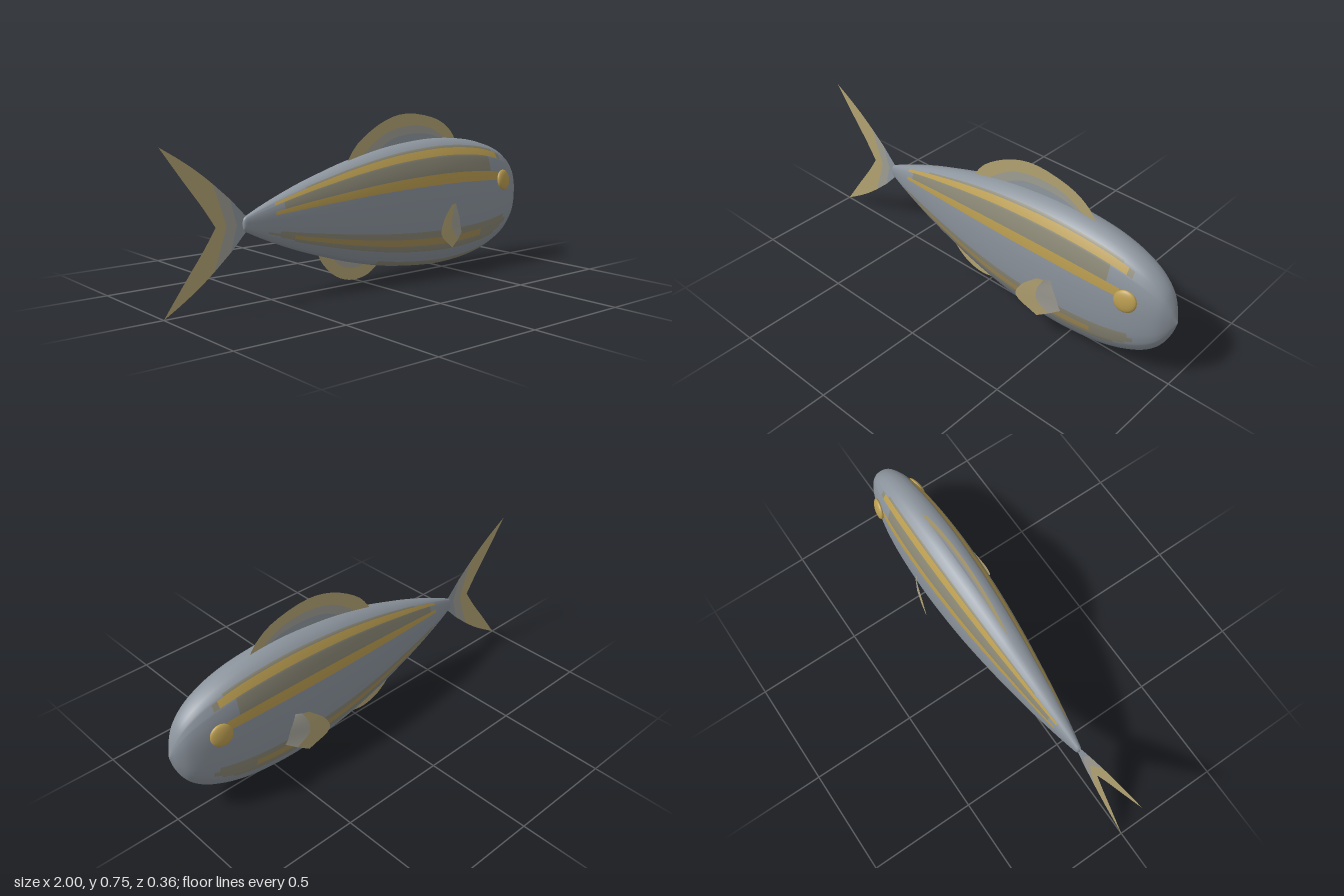
import * as THREE from 'three';

const mat = (name, color, side = THREE.FrontSide) => {
  const m = new THREE.MeshStandardMaterial({ color, side });
  m.name = name;
  return m;
};

const MID = 0.335;   // height of the body axis
const FLAT = 0.432;  // body width over height

// Body side profile: [x, half height]
const PROFILE = [[-0.635, 0], [-0.628, 0.026], [-0.6, 0.042], [-0.5, 0.087], [-0.35, 0.145], [-0.2, 0.193],
  [-0.09, 0.225], [0.1, 0.268], [0.25, 0.289], [0.42, 0.3], [0.58, 0.292], [0.7, 0.273], [0.8, 0.242],
  [0.88, 0.2], [0.94, 0.145], [0.975, 0.08], [1, 0]];

// Section angles for one flank, belly to back, in degrees
const ANGLES = [-90, -76, -61, -43, -39, -35, -27, -20, -7, 4, 14, 24, 33, 42, 45, 57, 62, 76, 90];

// Painted bands: [from angle, to angle, from x, to x, colour index]
const BANDS = [
  [-90, -76, 0.3, 0.78, 3], [-90, -61, 0.05, 0.84, 2],
  [-35, -27, -0.4, 0.66, 3], [-35, -27, -0.52, 0.85, 2],
  [-27, -20, -0.47, 0.83, 2], [-39, -35, -0.47, 0.82, 2], [-43, -39, -0.4, 0.77, 2],
  [14, 24, -0.5, 0.78, 1], [45, 57, -0.5, 0.79, 1], [45, 57, -0.5, 0.82, 2],
  [24, 45, -0.46, 0.72, 2], [57, 62, -0.35, 0.76, 2],
];

function buildBody(materials) {
  const curve = new THREE.CatmullRomCurve3(PROFILE.map(([x, r]) => new THREE.Vector3(x, r, 0)), false, 'centripetal');
  const stations = curve.getPoints(110);
  const ring = [...ANGLES, ...ANGLES.slice(1, -1).reverse().map((a) => 180 - a)];
  const n = ring.length;
  const full = (v) => Math.sign(v) * Math.abs(v) ** 0.833; // fuller than an ellipse
  const pos = [];
  for (const s of stations) {
    for (const deg of ring) {
      const a = THREE.MathUtils.degToRad(deg);
      const r = Math.max(s.y, 0.0003);
      const v = full(Math.sin(a));
      pos.push(s.x, MID + r * v * (v > 0 ? 0.975 : 1.025), FLAT * r * full(Math.cos(a)));
    }
  }
  // Sort the faces by colour band
  const faces = materials.map(() => []);
  for (let i = 0; i < stations.length - 1; i++) {
    const x = (stations[i].x + stations[i + 1].x) / 2;
    for (let j = 0; j < n; j++) {
      const k = (j + 1) % n;
      const next = k === 0 ? 270 : ring[k];
      const mid = (ring[j] + next) / 2;
      const folded = mid > 90 ? 180 - mid : mid;
      const band = BANDS.find(([a0, a1, x0, x1]) => folded > a0 && folded < a1 && x > x0 && x < x1);
      const a = i * n + j, b = a + n, c = (i + 1) * n + k, d = i * n + k;
      faces[band ? band[4] : 0].push(a, b, c, a, c, d);
    }
  }
  const geo = new THREE.BufferGeometry();
  geo.setAttribute('position', new THREE.Float32BufferAttribute(pos, 3));
  geo.setIndex(faces.flat());
  let start = 0;
  faces.forEach((f, m) => {
    geo.addGroup(start, f.length, m);
    start += f.length;
  });
  geo.computeVertexNormals();
  return new THREE.Mesh(geo, materials);
}

// Smooth 2D curve through a few points
const smooth = (pts) => new THREE.SplineCurve(pts.map(([x, y]) => new THREE.Vector2(x, y))).getPoints(20);

// Flat fin panel outlined by curves laid end to end
function panel(material, ...curves) {
  const shape = new THREE.Shape(curves.flatMap(smooth));
  return new THREE.Mesh(new THREE.ShapeGeometry(shape), material);
}

// Curved sheet between two matching rows of 3D points
function sheet(rowA, rowB, material) {
  const pos = [], index = [];
  rowA.forEach((a, i) => {
    pos.push(...a, ...rowB[i]);
    if (i) index.push(2 * i - 2, 2 * i - 1, 2 * i, 2 * i, 2 * i - 1, 2 * i + 1);
  });
  const geo = new THREE.BufferGeometry();
  geo.setAttribute('position', new THREE.Float32BufferAttribute(pos, 3));
  geo.setIndex(index);
  geo.computeVertexNormals();
  return new THREE.Mesh(geo, material);
}

export function createModel() {
  const silver = mat('silver skin', 0x8b939c);
  const gold = mat('gold stripe', 0xb99c50);
  const dullGold = mat('dull gold stripe', 0xa38d58);
  const olive = mat('olive stripe edge', 0x8a8775);
  const finGold = mat('fin gold', 0xb3a373, THREE.DoubleSide);
  const finGrey = mat('fin grey', 0xa09e94, THREE.DoubleSide);
  const finRoot = mat('fin root', 0x8f979f, THREE.DoubleSide);

  const model = new THREE.Group();
  const add = (name, mesh) => {
    mesh.name = name;
    model.add(mesh);
    return mesh;
  };

  add('body', buildBody([silver, gold, olive, dullGold]));

  // Back fin in three arched bands
  const backArch = [[0.0, 0.575], [0.13, 0.662], [0.28, 0.692], [0.42, 0.675], [0.54, 0.605]];
  const backInner = [[0.08, 0.585], [0.18, 0.638], [0.3, 0.655], [0.42, 0.645], [0.5, 0.61]];
  add('backFinEdge', panel(finGold,
    [[-0.09, 0.55], [-0.02, 0.635], [0.12, 0.718], [0.265, 0.75], [0.44, 0.722], [0.54, 0.665], [0.59, 0.595]],
    [...backArch].reverse()));
  add('backFinBand', panel(finGrey, backArch, [...backInner].reverse()));
  add('backFinRoot', panel(finRoot, backInner, [[0.5, 0.6], [0.25, 0.59], [0.08, 0.575]]));

  // Belly fin
  const bellyArch = [[-0.2, 0.165], [-0.14, 0.1], [-0.07, 0.072], [0.0, 0.078], [0.05, 0.1]];
  add('bellyFinEdge', panel(finGold,
    [[-0.26, 0.175], [-0.225, 0.11], [-0.15, 0.045], [-0.06, 0.018], [0.03, 0.032], [0.1, 0.08]],
    [...bellyArch].reverse()));
  add('bellyFinBase', panel(finGrey, bellyArch, [[0.05, 0.105], [-0.08, 0.14], [-0.2, 0.17]]));

  // Forked tail, one lobe above and one below the axis
  for (const s of [1, -1]) {
    const side = s > 0 ? 'upper' : 'lower';
    const lobe = (pts) => pts.map(([x, y]) => [x, MID + s * y]);
    const bandA = lobe([[-0.77, 0.178], [-0.735, 0.08], [-0.71, 0]]);
    const bandB = lobe([[-0.69, 0.108], [-0.675, 0.05], [-0.66, 0]]);
    add(side + 'TailTip', panel(finGold,
      lobe([[-1, 0.335], [-0.92, 0.287], [-0.84, 0.233], [-0.77, 0.178]]),
      bandA,
      lobe([[-0.76, 0], [-0.82, 0.09], [-0.9, 0.197], [-1, 0.335]])));
    add(side + 'TailBand', panel(finGrey, bandA, [...bandB].reverse()));
    add(side + 'TailRoot', panel(finRoot, bandB, lobe([[-0.61, 0], [-0.612, 0.02], [-0.62, 0.035]])));
  }

  for (const s of [1, -1]) {
    const flank = s > 0 ? 'left' : 'right';

    // Side fin, bowed away from the flank
    const row = (pts) => new THREE.CatmullRomCurve3(pts.map((p) => new THREE.Vector3(...p)), false, 'centripetal')
      .getPoints(12).map((p) => [p.x, p.y, p.z]);
    const root = row([[0.465, 0.33, 0.126], [0.485, 0.28, 0.126], [0.505, 0.235, 0.121], [0.52, 0.19, 0.115]]);
    const edge = row([[0.41, 0.33, 0.155], [0.34, 0.268, 0.175], [0.318, 0.205, 0.181], [0.415, 0.128, 0.155]]);
    const middle = root.map((p, i) => p.map((v, k) => v + (edge[i][k] - v) * 0.5 + (k === 2 ? 0.006 : 0)));
    const flip = (pts) => pts.map(([x, y, z]) => [x, y, s * z]);
    add(flank + 'SideFinBase', sheet(flip(root), flip(middle), finGrey));
    add(flank + 'SideFinEdge', sheet(flip(middle), flip(edge), finGold));

    // Eye, a flattened ball lying on the head
    const eye = add(flank + 'Eye', new THREE.Mesh(new THREE.SphereGeometry(0.05, 24, 16), gold));
    eye.scale.z = 0.32;
    eye.position.set(0.815, 0.408, s * 0.105);
    eye.rotation.set(-0.14 * s, 0.2 * s, 0);
  }

  return model;
}
